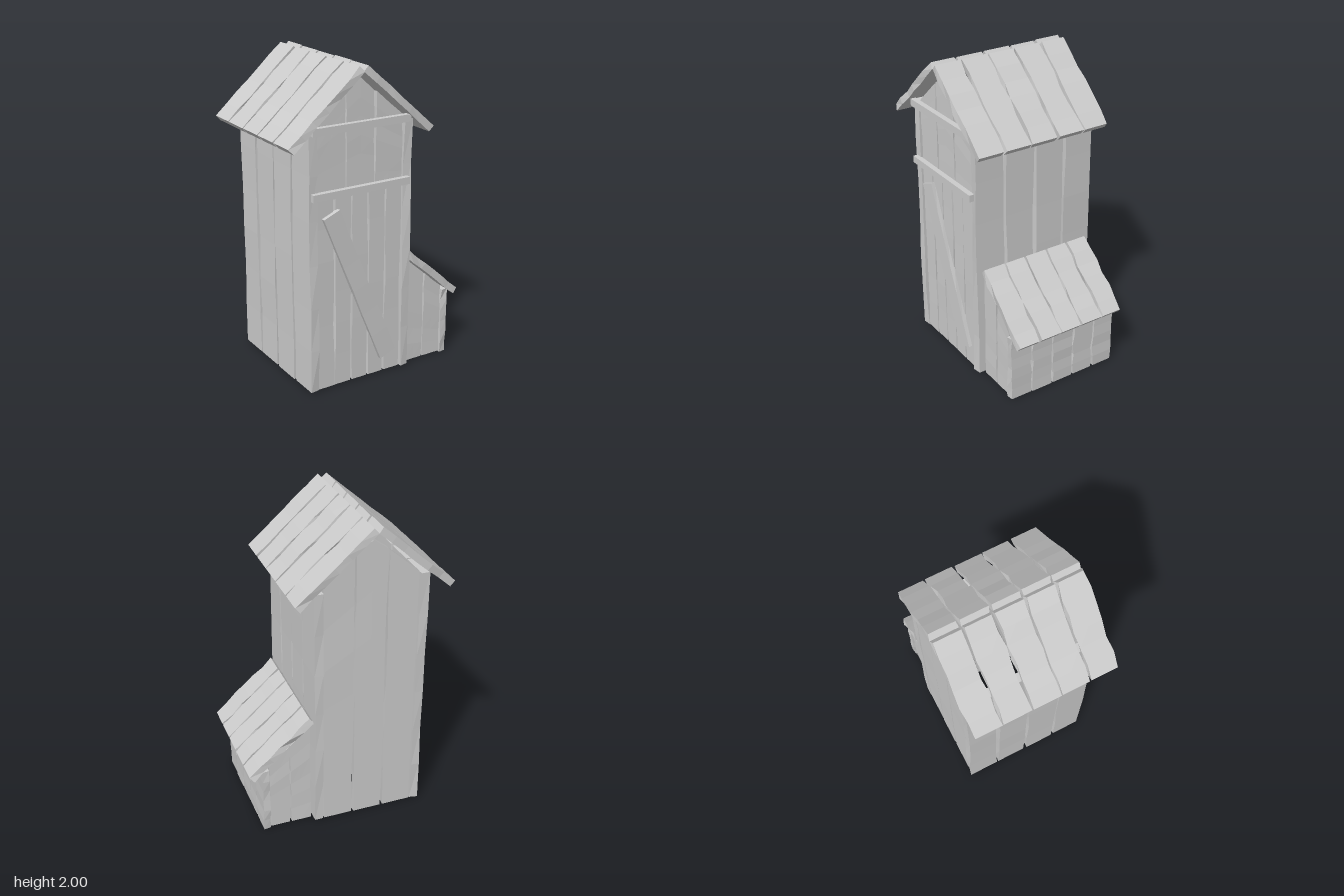
import * as THREE from 'three';

export function createModel() {
  const root = new THREE.Group();
  const material = new THREE.MeshStandardMaterial({ color: 0xcccccc, flatShading: true });

  let seed = 7;
  const random = () => {
    seed = (seed * 16807) % 2147483647;
    return seed / 2147483647;
  };

  // Upright board with uneven long edges; its base centre is at x, y0, z.
  // top(u) gives the height of the upper end across the width.
  function plankGeometry(width, y0, top, depth, wobble = 0.007, rows = 6) {
    const geo = new THREE.BoxGeometry(width, 1, depth, 2, rows, 1);
    const shift = Array.from({ length: (rows + 1) * 4 }, () => (random() - 0.5) * 2 * wobble);
    const bend = Array.from({ length: rows + 1 }, () => (random() - 0.5) * wobble * 0.7);
    const p = geo.attributes.position;
    for (let i = 0; i < p.count; i++) {
      const x = p.getX(i), t = p.getY(i) + 0.5, z = p.getZ(i);
      const row = Math.round(t * rows);
      const side = Math.abs(x) < 1e-5 ? -1 : x > 0 ? 1 : 0;
      const dx = side < 0 ? 0 : shift[row * 4 + side * 2 + (z > 0 ? 1 : 0)];
      p.setXYZ(i, x + dx, y0 + t * (top(x) - y0), z + bend[row]);
    }
    geo.computeVertexNormals();
    return geo;
  }

  function add(parent, name, geo, x, y, z) {
    const mesh = new THREE.Mesh(geo, material);
    mesh.name = name;
    mesh.position.set(x, y, z);
    parent.add(mesh);
    return mesh;
  }

  function group(name) {
    const g = new THREE.Group();
    g.name = name;
    root.add(g);
    return g;
  }

  // Row of boards facing z, between x0 and x1
  function wallAlongX(name, x0, x1, count, y0, top, z, depth) {
    const g = group(name);
    const pitch = (x1 - x0) / count;
    for (let i = 0; i < count; i++) {
      const x = x0 + pitch * (i + 0.5);
      add(g, 'plank', plankGeometry(pitch - 0.012, y0, u => top(x + u), depth, 0.005), x, 0, z);
    }
  }

  // Row of boards facing x, between z0 and z1
  function wallAlongZ(name, z0, z1, count, y0, height, x, depth, gap) {
    const g = group(name);
    const pitch = (z1 - z0 + gap) / count;
    for (let i = 0; i < count; i++) {
      const geo = plankGeometry(pitch - gap, y0, () => height, depth);
      add(g, 'plank', geo.rotateY(Math.PI / 2), x, 0, z0 + pitch * (i + 0.5) - gap / 2);
    }
  }

  // Sloping row of boards laid side by side along z
  function roof(name, x, y, angle, length, z0, z1, gap) {
    const g = group(name);
    const pitch = (z1 - z0 + gap) / 5;
    for (let i = 0; i < 5; i++) {
      const geo = plankGeometry(pitch - gap, -length / 2, () => length / 2, 0.044, 0.008);
      geo.rotateY(Math.PI / 2).rotateZ(angle);
      add(g, 'roofPlank', geo, x, y, z0 + pitch * (i + 0.5) - gap / 2);
    }
  }

  // Tower walls
  const gable = x => 1.925 - 0.85 * Math.abs(x + 0.135);
  wallAlongZ('rightWall', -0.432, 0.41, 4, 0.01, 1.635, 0.2, 0.055, 0.02);
  wallAlongZ('leftWall', -0.432, 0.41, 4, 0.01, 1.665, -0.46, 0.055, 0.02);
  wallAlongX('frontLowerWall', -0.432, 0.17, 5, 0.01, () => 1.26, 0.375, 0.045);
  wallAlongX('frontGable', -0.432, 0.17, 3, 1.25, gable, 0.375, 0.045);
  wallAlongX('backWall', -0.432, 0.175, 3, 0.01, gable, -0.405, 0.045);

  // Front trim
  const trim = group('frontTrim');
  for (const y of [1.652, 1.265])
    add(trim, 'crossBar', new THREE.BoxGeometry(0.675, 0.045, 0.035), -0.138, y, 0.422);
  const brace = add(trim, 'diagonalBrace', plankGeometry(0.118, -0.545, () => 0.545, 0.03, 0.002), -0.137, 0.636, 0.407);
  brace.rotation.z = 0.386;

  // Tower roof
  roof('roofRight', 0.1, 1.777, 0.848, 0.625, -0.46, 0.46, 0.016);
  roof('roofLeft', -0.394, 1.777, -0.848, 0.625, -0.46, 0.46, 0.016);

  // Side shed
  const slope = x => 0.715 - 0.885 * (x - 0.24);
  wallAlongZ('shedSideWall', -0.392, 0.382, 5, 0, 0.45, 0.537, 0.045, 0.014);
  wallAlongX('shedFrontWall', 0.237, 0.515, 2, 0.005, slope, 0.35, 0.04);
  wallAlongX('shedBackWall', 0.237, 0.515, 2, 0.005, slope, -0.36, 0.04);
  roof('shedRoof', 0.431, 0.589, 0.846, 0.525, -0.395, 0.377, 0.012);

  return root;
}
